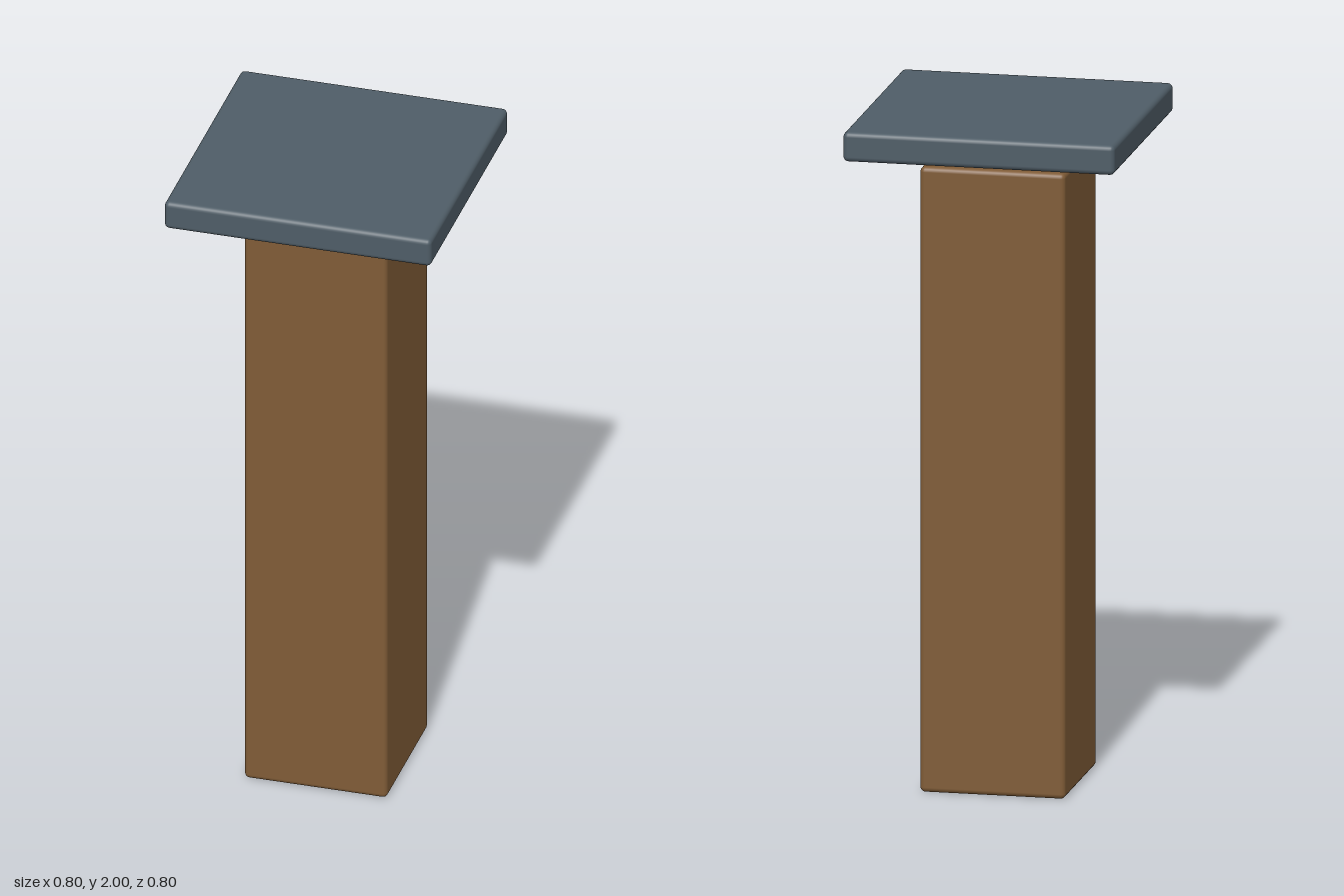
import * as THREE from 'three';
import { RoundedBoxGeometry } from 'three/addons/geometries/RoundedBoxGeometry.js';

export function createModel() {
  const model = new THREE.Group();
  model.name = 'cappedPost';

  const wood = new THREE.MeshStandardMaterial({ color: 0x805c37 });
  wood.name = 'brownWood';
  const slate = new THREE.MeshStandardMaterial({ color: 0x4f5d67 });
  slate.name = 'slateGrey';

  // Square block with softly rounded edges, placed by its bottom and top heights
  function addBlock(name, width, bottom, top, radius, material) {
    const geometry = new RoundedBoxGeometry(width, top - bottom, width, 3, radius);
    const mesh = new THREE.Mesh(geometry, material);
    mesh.name = name;
    mesh.position.y = (bottom + top) / 2;
    model.add(mesh);
  }

  // Tall square post
  addBlock('post', 0.43, 0, 1.862, 0.015, wood);
  // Flat cap, floating just above the post
  addBlock('cap', 0.804, 1.912, 2, 0.015, slate);

  return model;
}
